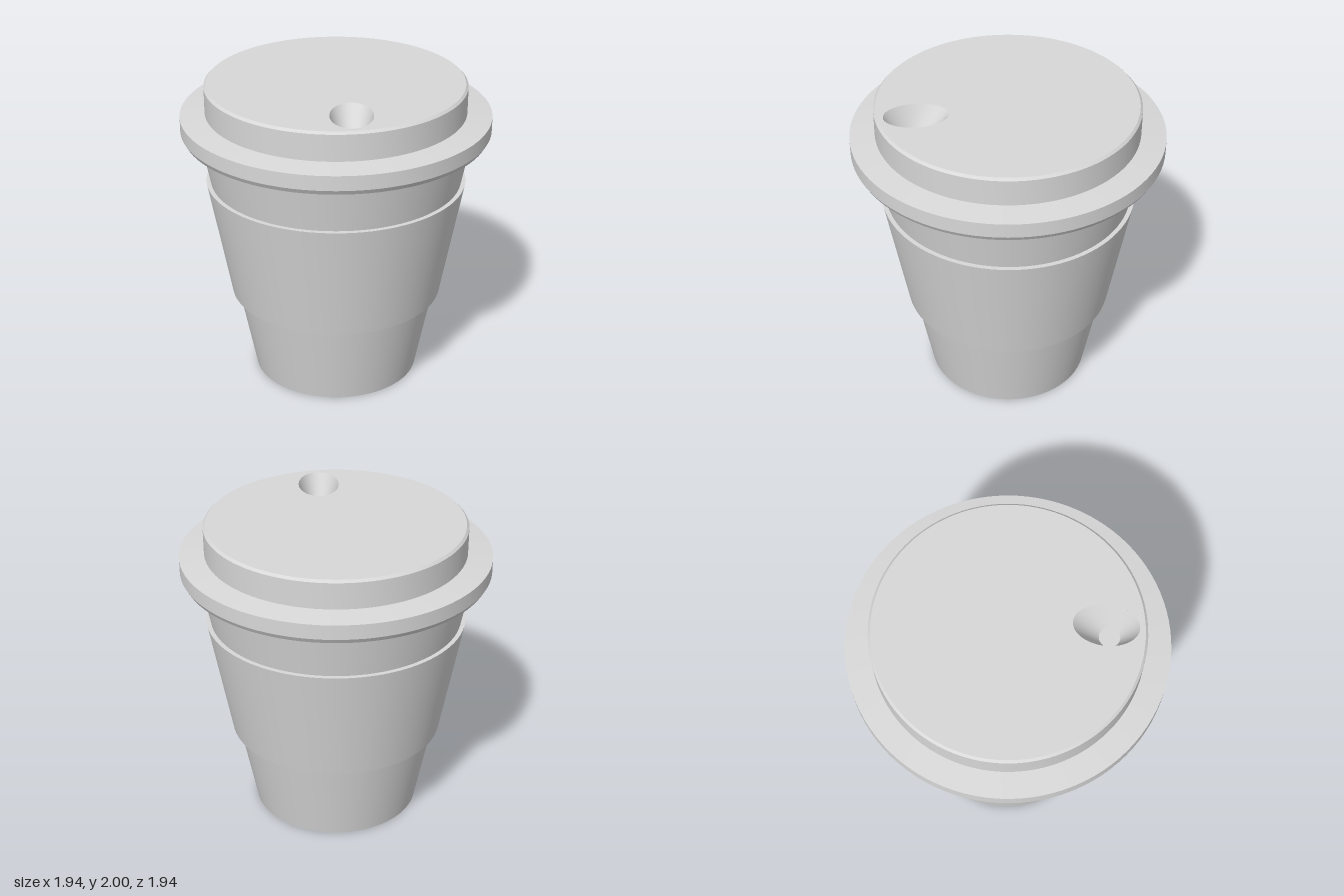
import * as THREE from 'three';
import { toCreasedNormals } from 'three/addons/utils/BufferGeometryUtils.js';

const SEGMENTS = 96;

export function createModel() {
  const model = new THREE.Group();
  model.name = 'takeawayCup';
  const grey = new THREE.MeshStandardMaterial({ color: 0xd8d8d8 });
  grey.name = 'light grey';

  const add = (name, geometry, parent) => {
    const mesh = new THREE.Mesh(geometry, grey);
    mesh.name = name;
    parent.add(mesh);
    return mesh;
  };

  // Revolved profile, listed from bottom to top, with sharp edges kept
  const revolve = (profile) => toCreasedNormals(
    new THREE.LatheGeometry(profile.map(([r, y]) => new THREE.Vector2(r, y)), SEGMENTS), 0.3);

  // Tapered cup and its sleeve, very slightly narrower front to back
  const cup = new THREE.Group();
  cup.name = 'cup';
  cup.scale.z = 0.972;
  model.add(cup);
  add('cupBody', revolve([[0, 0], [0.537, 0], [0.86, 1.68]]), cup);
  add('sleeve', revolve([[0.635, 0.567], [0.684, 0.567], [0.825, 1.35], [0.785, 1.35]]), cup);

  // Lid: flat underside, overhanging rim and raised, bevelled drum
  const lid = new THREE.Group();
  lid.name = 'lid';
  model.add(lid);
  add('lidShell', revolve([
    [0, 1.677], [0.955, 1.677], [0.972, 1.707], [0.972, 1.8],
    [0.817, 1.818], [0.817, 1.985], [0.802, 2],
  ]), lid);

  // Lid top with an oval sip opening near the front
  const sip = { x: 0.09, z: 0.567, rx: 0.13, rz: 0.196, floorZ: 0.597, floorR: 0.064, floorY: 1.82 };
  const topShape = new THREE.Shape().absarc(0, 0, 0.802, 0, Math.PI * 2);
  topShape.holes.push(new THREE.Path().absellipse(sip.x, -sip.z, sip.rx, sip.rz, 0, Math.PI * 2, true));
  const lidTop = add('lidTop', new THREE.ShapeGeometry(topShape, SEGMENTS).rotateX(-Math.PI / 2), lid);
  lidTop.position.y = 2;

  // Funnel from the oval opening down to a small round floor
  const points = [];
  const faces = [];
  for (let i = 0; i < SEGMENTS; i++) {
    const a = (i / SEGMENTS) * Math.PI * 2;
    const c = Math.cos(a);
    const s = Math.sin(a);
    points.push(sip.x + sip.rx * c, 2, sip.z + sip.rz * s);
    points.push(sip.x + sip.floorR * c, sip.floorY, sip.floorZ + sip.floorR * s);
    const t0 = 2 * i;
    const t1 = 2 * ((i + 1) % SEGMENTS);
    faces.push(t0, t0 + 1, t1, t1, t0 + 1, t1 + 1);
  }
  const funnel = new THREE.BufferGeometry();
  funnel.setAttribute('position', new THREE.Float32BufferAttribute(points, 3));
  funnel.setIndex(faces);
  funnel.computeVertexNormals();
  add('sipFunnel', funnel, lid);

  const floor = add('sipFloor', new THREE.CircleGeometry(sip.floorR, SEGMENTS).rotateX(-Math.PI / 2), lid);
  floor.position.set(sip.x, sip.floorY, sip.floorZ);

  return model;
}
